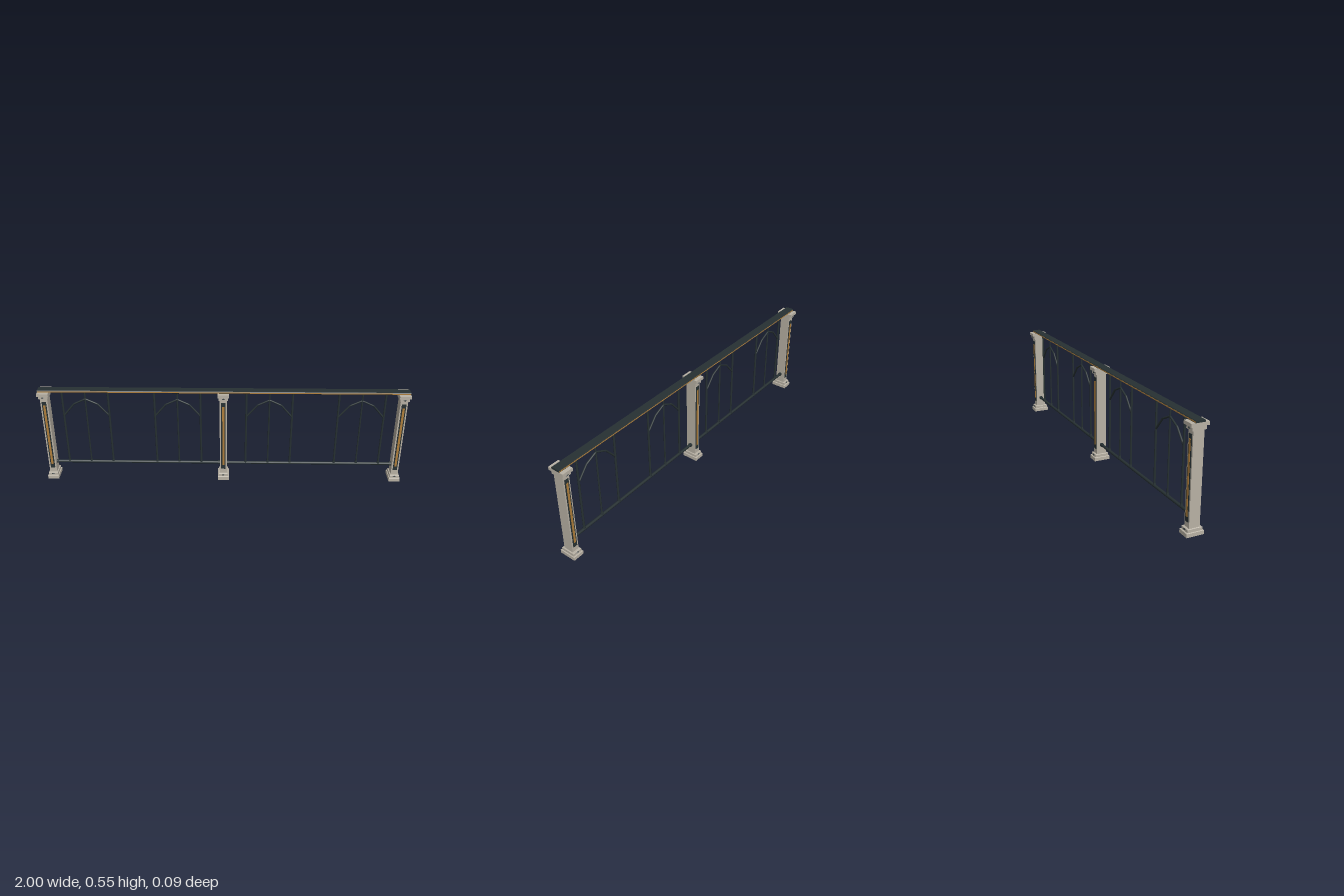
import * as THREE from 'three';

const stone = new THREE.MeshStandardMaterial({ color: 0xb9b2a5 });
stone.name = 'stone';
const iron = new THREE.MeshStandardMaterial({ color: 0x273133 });
iron.name = 'dark iron';
const gold = new THREE.MeshStandardMaterial({ color: 0xb07f3c });
gold.name = 'aged gold';

function add(parent, name, geometry, material, x = 0, y = 0, z = 0) {
  const mesh = new THREE.Mesh(geometry, material);
  mesh.name = name;
  mesh.position.set(x, y, z);
  parent.add(mesh);
  return mesh;
}

// Box from y0 to y1
function block(parent, name, material, w, y0, y1, d, x = 0, z = 0) {
  return add(parent, name, new THREE.BoxGeometry(w, y1 - y0, d), material, x, (y0 + y1) / 2, z);
}

// Stone course with a small chamfer along its top edge
function course(parent, name, w, y0, y1, d) {
  const c = 0.002;
  block(parent, name, stone, w, y0, y1 - c, d);
  const geometry = new THREE.BoxGeometry(w, c, d);
  const p = geometry.attributes.position;
  for (let i = 0; i < p.count; i++) {
    if (p.getY(i) > 0) {
      p.setX(i, p.getX(i) - Math.sign(p.getX(i)) * c);
      p.setZ(i, p.getZ(i) - Math.sign(p.getZ(i)) * c);
    }
  }
  geometry.computeVertexNormals();
  add(parent, name + 'Chamfer', geometry, stone, 0, y1 - c / 2, 0);
}

function createPost(x) {
  const post = new THREE.Group();
  post.name = 'post';
  post.position.x = x;
  course(post, 'plinth', 0.062, 0, 0.021, 0.092);
  course(post, 'plinthStep', 0.052, 0.021, 0.037, 0.078);
  block(post, 'shaft', stone, 0.04, 0.037, 0.5, 0.056);
  block(post, 'capitalNeck', stone, 0.05, 0.5, 0.52, 0.072);
  block(post, 'capital', stone, 0.062, 0.52, 0.537, 0.092);
  block(post, 'railSaddle', iron, 0.06, 0.537, 0.541, 0.05);
  for (const s of [1, -1]) {
    // Inlaid panel with a gold strip, and studs above and below
    block(post, 'inlayPanel', iron, 0.024, 0.065, 0.482, 0.004, 0, s * 0.0285);
    block(post, 'inlayStrip', gold, 0.012, 0.09, 0.46, 0.004, 0, s * 0.0303);
    for (const [y, z] of [[0.51, 0.038], [0.029, 0.039]]) {
      const stud = add(post, 'stud', new THREE.OctahedronGeometry(0.005), iron, 0, y, s * z);
      stud.scale.x = 2;
    }
  }
  return post;
}

function createBalusterSet(x) {
  const set = new THREE.Group();
  set.name = 'balusterSet';
  set.position.x = x;
  for (const dx of [-0.125, 0, 0.125]) {
    const r = dx === 0 ? 0.0045 : 0.0058;
    add(set, 'baluster', new THREE.CylinderGeometry(r, r, 0.447, 8), iron, dx, 0.3135, 0);
    add(set, 'balusterFoot', new THREE.CylinderGeometry(0.006, 0.008, 0.012, 8), iron, dx, 0.101, 0);
    add(set, 'balusterHead', new THREE.CylinderGeometry(0.008, 0.006, 0.01, 8), iron, dx, 0.532, 0);
  }
  // Pointed arch of straight bars
  const points = [[-0.125, 0.385], [-0.065, 0.456], [0, 0.487], [0.065, 0.456], [0.125, 0.385]]
    .map(([px, py]) => new THREE.Vector3(px, py, 0));
  const path = new THREE.CurvePath();
  for (let i = 0; i < 4; i++) path.add(new THREE.LineCurve3(points[i], points[i + 1]));
  add(set, 'arch', new THREE.TubeGeometry(path, 32, 0.005, 8), iron);
  return set;
}

export function createModel() {
  const model = new THREE.Group();
  model.name = 'railing';

  for (const x of [-0.969, 0, 0.969]) model.add(createPost(x));
  for (const x of [-0.75, -0.25, 0.25, 0.75]) model.add(createBalusterSet(x));

  // Handrail with bevelled edges
  const profile = new THREE.Shape([[-0.023, 0.537], [0.023, 0.537], [0.0245, 0.539],
    [0.0245, 0.544], [0.022, 0.548], [-0.022, 0.548], [-0.0245, 0.544], [-0.0245, 0.539]]
    .map(([a, b]) => new THREE.Vector2(a, b)));
  const rail = new THREE.ExtrudeGeometry(profile, { depth: 2, bevelEnabled: false });
  rail.translate(0, 0, -1).rotateY(Math.PI / 2);
  add(model, 'handrail', rail, iron);
  for (const s of [1, -1]) {
    block(model, 'handrailTrim', gold, 1.998, 0.5385, 0.544, 0.002, 0, s * 0.0244);
  }

  // Lower rail with collars where it meets the posts
  const bar = new THREE.CylinderGeometry(0.008, 0.008, 1.92, 8).rotateZ(Math.PI / 2);
  add(model, 'lowerRail', bar, iron, 0, 0.09, 0);
  for (const x of [-0.944, -0.025, 0.025, 0.944]) {
    const collar = new THREE.CylinderGeometry(0.011, 0.011, 0.012, 12).rotateZ(Math.PI / 2);
    add(model, 'railCollar', collar, iron, x, 0.09, 0);
  }
  return model;
}
